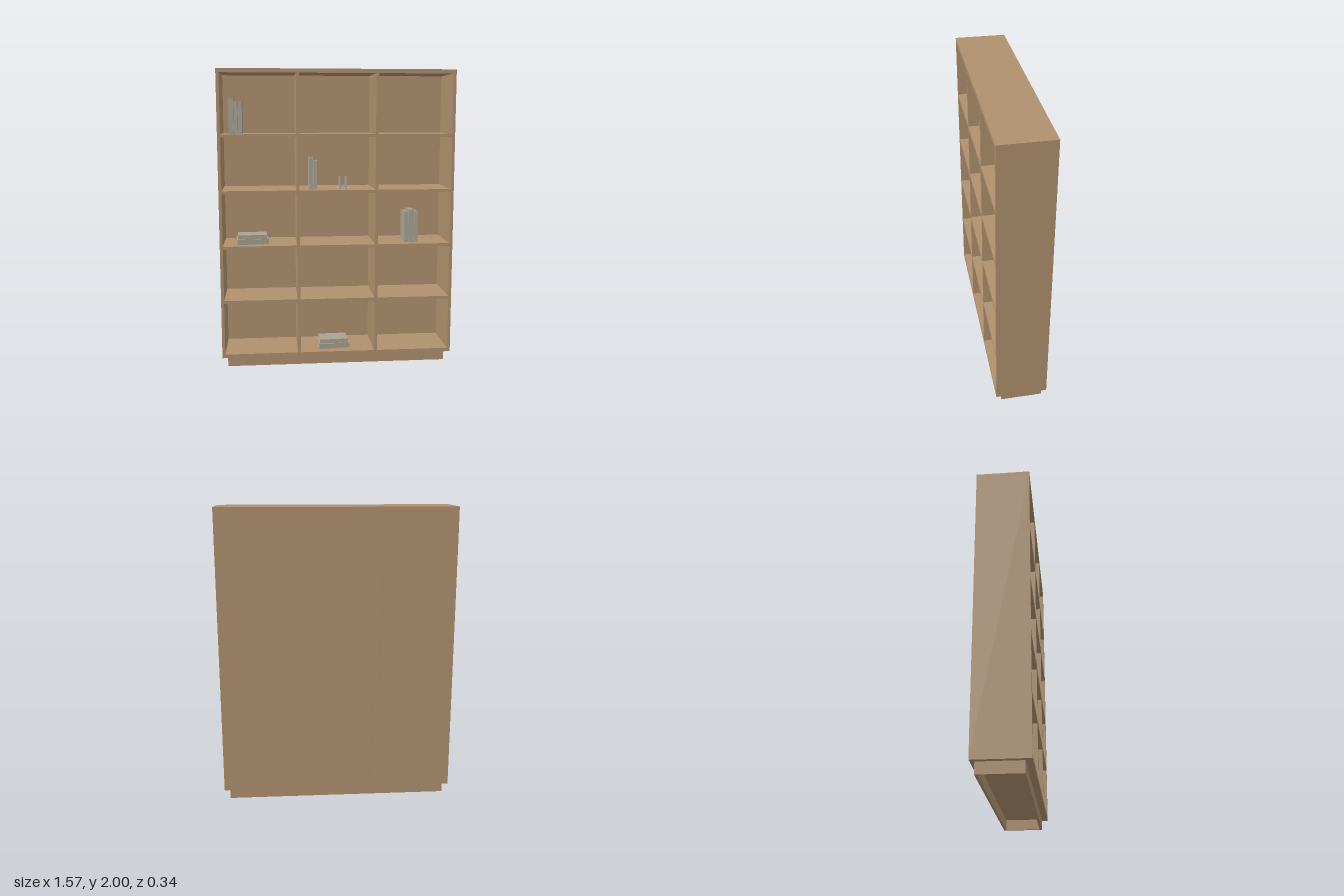
import * as THREE from 'three';

const wood = new THREE.MeshStandardMaterial({ color: 0xae906d });
wood.name = 'wood';
const grey = new THREE.MeshStandardMaterial({ color: 0xa8a392 });
grey.name = 'book grey';

// Box given by its limits on each axis
function slab(parent, name, material, [x0, x1], [y0, y1], [z0, z1]) {
  const mesh = new THREE.Mesh(new THREE.BoxGeometry(x1 - x0, y1 - y0, z1 - z0), material);
  mesh.position.set((x0 + x1) / 2, (y0 + y1) / 2, (z0 + z1) / 2);
  mesh.name = name;
  parent.add(mesh);
  return mesh;
}

// Upright book, spine at +z, standing on y = 0, centred on x and z
function makeBook(thickness, height, depth) {
  const book = new THREE.Group();
  const c = 0.003, t = thickness / 2, d = depth / 2;
  slab(book, 'coverRight', grey, [-t, -t + c], [0, height], [-d, d]);
  slab(book, 'coverLeft', grey, [t - c, t], [0, height], [-d, d]);
  slab(book, 'spine', grey, [-t + c, t - c], [0, height], [d - c, d]);
  slab(book, 'pages', grey, [-t + c, t - c], [0.004, height - 0.006], [-d + 0.005, d - c]);
  book.name = 'book';
  return book;
}

export function createModel() {
  const model = new THREE.Group();
  model.name = 'bookcase';
  const W = 0.785, D = 0.172, inner = 0.765, base = 0.072;
  const back = -D + 0.008;
  const levels = [0.097, 0.47, 0.84, 1.21, 1.58];

  // Case
  slab(model, 'topBoard', wood, [-W, W], [1.973, 2], [-D, D]);
  slab(model, 'rightSide', wood, [-W, -inner], [base, 1.973], [-D, D]);
  slab(model, 'leftSide', wood, [inner, W], [base, 1.973], [-D, D]);
  levels.forEach((y, i) => {
    slab(model, i ? 'shelf' : 'bottomBoard', wood, [-inner, inner], [i ? y - 0.02 : base, y], [back, D]);
    const top = i < 4 ? levels[i + 1] - 0.02 : 1.973;
    for (const x of [-0.263, 0.263]) {
      slab(model, 'divider', wood, [x - 0.01, x + 0.01], [y, top], [back, D - 0.001]);
    }
  });

  // Back in three panels with narrow joints
  for (const [a, b] of [[-inner, -0.264], [-0.262, 0.262], [0.264, inner]]) {
    slab(model, 'backPanel', wood, [a, b], [base, 1.973], [-D + 0.001, back]);
  }

  // Hollow plinth, open underneath
  slab(model, 'plinthFront', wood, [-0.75, 0.75], [0, base], [0.115, 0.132]);
  slab(model, 'plinthBack', wood, [-0.75, 0.75], [0, base], [-0.145, -0.129]);
  for (const s of [-1, 1]) {
    const xs = s < 0 ? [-0.75, -0.733] : [0.733, 0.75];
    slab(model, 'plinthSide', wood, xs, [0, base], [-0.129, 0.115]);
  }

  // Standing books: left edge, right edge, shelf, top
  const standing = [
    [-0.715, -0.682, 1.58, 1.81], [-0.68, -0.654, 1.58, 1.79], [-0.652, -0.625, 1.58, 1.79],
    [-0.186, -0.16, 1.21, 1.42], [-0.158, -0.134, 1.21, 1.4],
    [0.465, 0.493, 0.84, 1.05], [0.495, 0.531, 0.84, 1.065], [0.533, 0.557, 0.84, 1.05],
  ];
  standing.forEach(([x0, x1, y0, y1]) => {
    const book = makeBook(x1 - x0, y1 - y0, 0.145);
    book.position.set((x0 + x1) / 2, y0, 0.03);
    model.add(book);
  });

  // Lying books in stacks of two
  for (const [x, y] of [[-0.572, 0.84], [-0.023, 0.097]]) {
    const stack = new THREE.Group();
    stack.name = 'bookStack';
    stack.position.set(x, y, 0.033);
    [[0.035, 0.212, 0.15, 0.09, 0], [0.028, 0.195, 0.135, 0.04, 0.035]].forEach(([t, h, d, turn, lift]) => {
      const book = makeBook(t, h, d);
      book.rotation.z = Math.PI / 2;
      book.position.set(h / 2, t / 2, 0);
      const holder = new THREE.Group();
      holder.name = 'lyingBook';
      holder.add(book);
      holder.position.y = lift;
      holder.rotation.y = turn;
      stack.add(holder);
    });
    model.add(stack);
  }

  // Pair of bookends with feet pointing outwards
  for (const [x, foot] of [[0.024, 0], [0.067, 0.088]]) {
    const end = new THREE.Group();
    end.name = 'bookend';
    slab(end, 'plate', grey, [x - 0.002, x + 0.002], [1.21, 1.285], [-0.025, 0.105]);
    slab(end, 'foot', grey, [Math.min(x, foot), Math.max(x, foot)], [1.21, 1.214], [-0.025, 0.105]);
    model.add(end);
  }
  return model;
}
